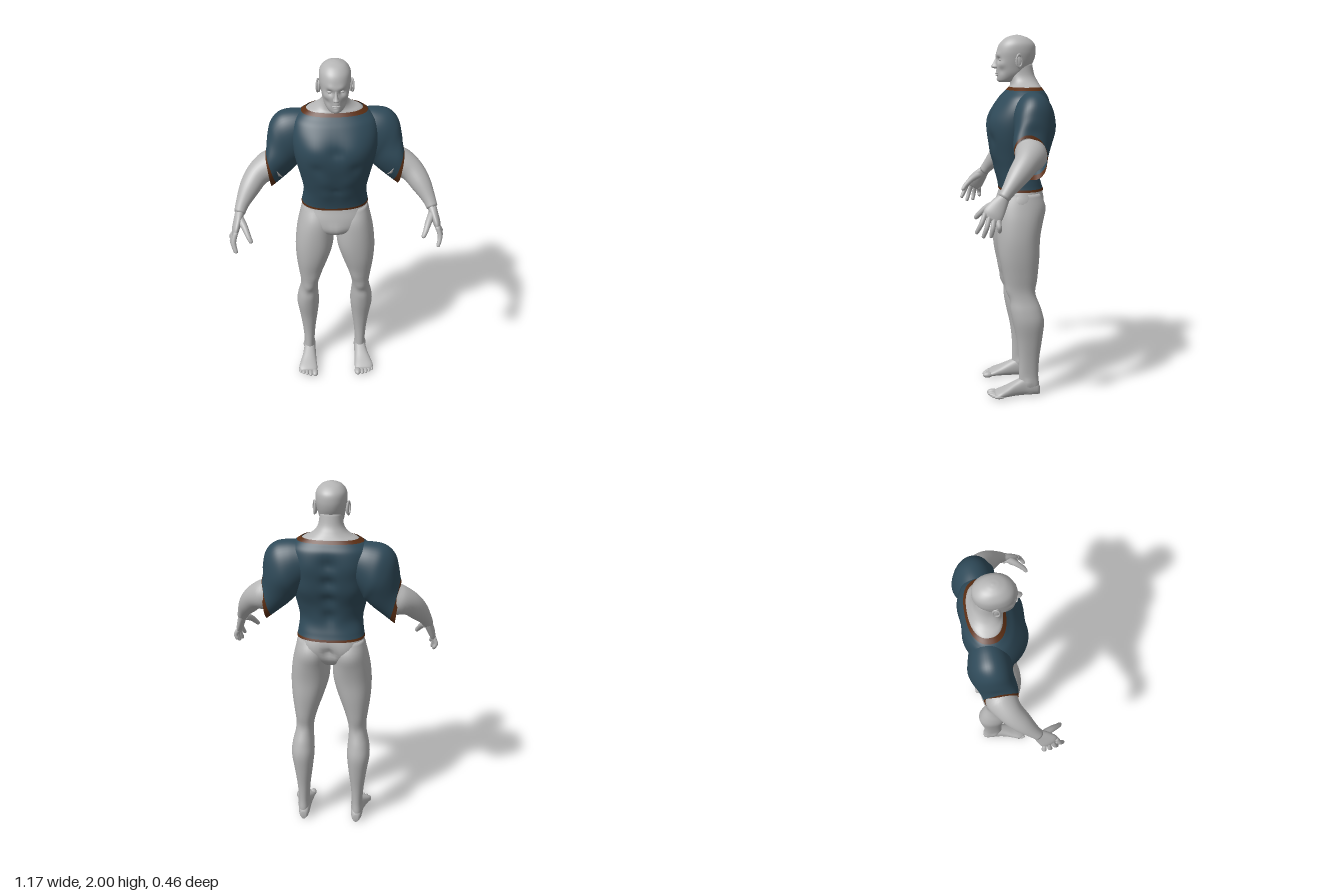
import * as THREE from 'three';

const V = (x, y, z) => new THREE.Vector3(x, y, z);

// Smooth skin through cross-sections, each { c: centre, u, v: half axes }
function loft(rings, { segs = 32, steps = 4, pow = 1, caps = true, trim } = {}) {
  const [cc, cu, cv] = ['c', 'u', 'v'].map(k =>
    new THREE.CatmullRomCurve3(rings.map(r => r[k]), false, 'catmullrom', 0.5));
  const rows = (rings.length - 1) * steps;
  const axis = rings[1].c.clone().sub(rings[0].c);
  const flip = rings[0].u.clone().cross(rings[0].v).dot(axis) < 0 ? -1 : 1;
  const bend = a => Math.sign(a) * Math.pow(Math.abs(a), pow);
  const pos = [], idx = [];
  for (let i = 0; i <= rows; i++) {
    const c = cc.getPoint(i / rows), u = cu.getPoint(i / rows), v = cv.getPoint(i / rows);
    for (let j = 0; j < segs; j++) {
      const t = j / segs * Math.PI * 2;
      const p = c.clone().addScaledVector(u, bend(Math.cos(t))).addScaledVector(v, flip * bend(Math.sin(t)));
      pos.push(p.x, p.y, p.z);
    }
  }
  for (let i = 0; i < rows; i++) for (let j = 0; j < segs; j++) {
    const k = (j + 1) % segs, a = i * segs + j, b = i * segs + k;
    idx.push(a, b, a + segs, b, b + segs, a + segs);
  }
  if (caps) {
    const s = rings[0].c, e = rings[rings.length - 1].c, n = (rows + 1) * segs;
    pos.push(s.x, s.y, s.z, e.x, e.y, e.z);
    for (let j = 0; j < segs; j++) {
      const k = (j + 1) % segs, o = rows * segs;
      idx.push(n, k, j, n + 1, o + j, o + k);
    }
  }
  const geo = new THREE.BufferGeometry();
  geo.setAttribute('position', new THREE.Float32BufferAttribute(pos, 3));
  geo.setIndex(idx);
  if (trim) { // trim = [rows at start, rows at end] in the second material
    const q = segs * 6, [a, b] = trim;
    if (a) geo.addGroup(0, a * q, 1);
    geo.addGroup(a * q, (rows - a - b) * q, 0);
    geo.addGroup((rows - b) * q, b * q, 1);
  }
  geo.computeVertexNormals();
  return geo;
}

// Horizontal section: height, inner x, outer x, front z, back z
const level = ([y, x0, x1, f, b]) =>
  ({ c: V((x0 + x1) / 2, y, (f + b) / 2), u: V((x1 - x0) / 2, 0, 0), v: V(0, 0, (f - b) / 2) });
const centred = ([y, rx, f, b]) => level([y, -rx, rx, f, b]);

// Round limb along points [x, y, z, radius]
function limb(pts, opts) {
  const p = pts.map(a => V(a[0], a[1], a[2]));
  return loft(p.map((c, i) => {
    const t = p[Math.min(i + 1, p.length - 1)].clone().sub(p[Math.max(i - 1, 0)]).normalize();
    const u = V(1, 0, 0).addScaledVector(t, -t.x).normalize();
    const v = t.clone().cross(u);
    return { c, u: u.multiplyScalar(pts[i][3]), v: v.multiplyScalar(pts[i][3]) };
  }), opts);
}

// Soft muscle bulges and hollows: [x, y, z, radius, amount], mirrored in x
function sculpt(geo, bumps) {
  const P = geo.attributes.position, N = geo.attributes.normal;
  for (let i = 0; i < P.count; i++) {
    const p = V().fromBufferAttribute(P, i), n = V().fromBufferAttribute(N, i);
    let s = 0;
    for (const [x, y, z, r, a] of bumps) s += a * Math.exp(-V(Math.abs(p.x), p.y, p.z).distanceToSquared(V(x, y, z)) / (r * r));
    p.addScaledVector(n, s);
    P.setXYZ(i, p.x, p.y, p.z);
  }
  geo.computeVertexNormals();
  return geo;
}

function blob(x, y, z, rx, ry, rz) {
  return new THREE.SphereGeometry(1, 20, 14).scale(rx, ry, rz).translate(x, y, z);
}

function mirrored(geo) {
  const g = geo.clone().scale(-1, 1, 1), a = g.index.array;
  for (let i = 0; i < a.length; i += 3) [a[i], a[i + 1]] = [a[i + 1], a[i]];
  g.computeVertexNormals();
  return g;
}

export function createModel() {
  const model = new THREE.Group();
  model.name = 'figure';
  const mat = (name, color, side = THREE.FrontSide) => Object.assign(new THREE.MeshStandardMaterial({ color, side }), { name });
  const skin = mat('skin', 0xb6b6b6);
  const cloth = [mat('shirt cloth', 0x2f4a59, THREE.DoubleSide), mat('shirt trim', 0x5c2f14, THREE.DoubleSide)];
  const add = (name, geo, material = skin) => {
    const m = new THREE.Mesh(geo, material);
    m.name = name;
    model.add(m);
  };
  const pair = (name, geo, material) => {
    add('left' + name, geo, material);
    add('right' + name, mirrored(geo), material);
  };

  // Shirt body with hem and collar bands
  add('shirtBody', sculpt(loft([
    [1.163, .185, .045, -.2], [1.2, .178, .05, -.187], [1.27, .172, .065, -.166], [1.35, .188, .085, -.18],
    [1.45, .213, .104, -.208], [1.53, .228, .1, -.22], [1.6, .232, .077, -.225], [1.66, .22, .042, -.222],
    [1.695, .19, .01, -.205], [1.722, .15, -.015, -.186],
  ].map(centred), { segs: 72, steps: 8, pow: .85, caps: false, trim: [3, 5] }), [
    [.1, 1.54, .08, .075, .012], [.1, 1.445, .09, .035, -.007], [0, 1.54, .1, .03, -.01],
    [.06, 1.36, .08, .04, .005], [.05, 1.27, .06, .04, .004], [0, 1.3, .07, .02, -.005],
    [.11, 1.58, -.21, .07, .011], [.13, 1.45, -.19, .07, .01], [.05, 1.28, -.16, .05, .007],
    [0, 1.6, -.22, .035, -.015], [0, 1.5, -.22, .035, -.018], [0, 1.4, -.19, .035, -.014], [0, 1.3, -.17, .035, -.01],
  ]), cloth);

  // Sleeves: sections from shoulder-side point to underarm point, with depth
  pair('Sleeve', sculpt(loft([
    [.14, 1.70, -.115, .14, 1.46, -.12, .09], [.22, 1.703, -.115, .17, 1.42, -.12, .105],
    [.29, 1.688, -.115, .18, 1.40, -.12, .109], [.338, 1.64, -.108, .195, 1.385, -.12, .104],
    [.358, 1.57, -.095, .23, 1.35, -.115, .098], [.366, 1.51, -.075, .29, 1.30, -.105, .09],
    [.372, 1.475, -.065, .345, 1.255, -.1, .083],
  ].map(([ox, oy, oz, ix, iy, iz, d]) => ({
    c: V((ox + ix) / 2, (oy + iy) / 2, (oz + iz) / 2),
    u: V((ox - ix) / 2, (oy - iy) / 2, (oz - iz) / 2), v: V(0, 0, d),
  })), { segs: 48, steps: 6, caps: false, trim: [0, 3] }), [
    [.3, 1.45, 0, .06, .008], [.34, 1.5, -.1, .03, -.006], [.25, 1.5, -.22, .06, .008],
  ]), cloth);

  // Forearm, palm and digits
  pair('Forearm', limb([
    [.32, 1.40, -.085, .085], [.36, 1.38, -.083, .083], [.42, 1.35, -.05, .066], [.465, 1.295, -.003, .056],
    [.505, 1.23, .05, .037], [.522, 1.19, .08, .03],
  ]));
  const across = V(-.2, .5, .85).normalize(), thick = V(.95, .3, .05).normalize();
  pair('Palm', loft([
    [.518, 1.2, .072, .028, .026], [.53, 1.165, .1, .042, .023], [.545, 1.12, .13, .052, .02], [.552, 1.09, .145, .046, .013],
  ].map(([x, y, z, w, t]) => ({ c: V(x, y, z), u: across.clone().multiplyScalar(w), v: thick.clone().multiplyScalar(t) })),
  { segs: 24 }));
  [[.545, 1.02, .215], [.553, 1, .182], [.562, 1.002, .145], [.566, 1.025, .103]].forEach(([x, y, z], i) => {
    const k = V(.55, 1.105, .14).addScaledVector(across, .037 - i * .025);
    pair('Finger' + (i + 1), limb([
      [k.x, k.y, k.z, .013], [(k.x + x) / 2 + .012, (k.y + y) / 2, (k.z + z) / 2, .0125],
      [x, y + .008, z, .01], [x - .002, y, z, .004],
    ], { segs: 12 }));
  });
  pair('Thumb', limb([
    [.522, 1.17, .105, .022], [.495, 1.145, .155, .018], [.475, 1.11, .195, .014], [.462, 1.088, .212, .011], [.458, 1.082, .216, .004],
  ], { segs: 14 }));

  // Pelvis and legs
  add('pelvis', sculpt(loft([
    [1.25, .15, .03, -.15], [1.17, .174, .038, -.188], [1.1, .193, .058, -.188], [1.04, .18, .062, -.17],
    [1, .12, .04, -.13], [.985, .04, 0, -.08],
  ].map(centred), { segs: 48, pow: .9 }), [
    [.09, 1.1, -.19, .06, .015], [0, 1.09, -.19, .025, -.025], [0, 1.04, .06, .035, .012],
  ]));
  pair('Leg', sculpt(loft([
    [1.15, .02, .18, .02, -.17], [1.08, .01, .198, .055, -.194], [1, .008, .215, .067, -.186], [.9, .012, .225, .068, -.17],
    [.8, .04, .222, .058, -.165], [.7, .075, .21, .035, -.155], [.62, .097, .2, .017, -.148], [.56, .102, .205, .004, -.155],
    [.5, .098, .219, -.002, -.175], [.43, .095, .225, -.015, -.19], [.33, .105, .21, -.037, -.18],
    [.22, .119, .195, -.05, -.165], [.12, .126, .188, -.05, -.16], [.06, .125, .19, -.05, -.165], [.015, .13, .185, -.06, -.155],
  ].map(level), { segs: 40, pow: .92 }), [
    [.1, 1.06, -.19, .06, .008], [.11, .68, .03, .04, .007], [.15, .61, .015, .03, .007], [.15, .555, 0, .025, -.004],
    [.16, .6, -.15, .04, -.008], [.125, .09, -.09, .02, .007], [.19, .08, -.1, .02, .007],
  ]));

  // Feet: z, centre x, half width, height
  pair('Foot', loft([
    [-.17, .155, .015, .045], [-.155, .155, .027, .07], [-.12, .156, .034, .095], [-.08, .157, .036, .105],
    [-.03, .161, .041, .085], [.02, .168, .05, .06], [.06, .172, .056, .042], [.088, .168, .048, .028],
  ].map(([z, x, w, h]) => ({ c: V(x, h / 2 + .004, z), u: V(w, 0, 0), v: V(0, h / 2, 0) })), { pow: .85 }));
  [[.131, .098, .019], [.158, .098, .013], [.18, .09, .0125], [.2, .08, .012], [.218, .066, .012]].forEach(([x, z, r], i) =>
    pair('Toe' + (i + 1), blob(x, .018, z, r, r * .9, .03)));

  // Neck, sloping into the collar
  add('neck', loft([
    [1.66, .165, -.01, -.2], [1.713, .152, -.014, -.188], [1.735, .108, -.02, -.178], [1.757, .08, -.018, -.166],
    [1.79, .064, -.008, -.15], [1.85, .058, 0, -.138],
  ].map(centred), { segs: 48, pow: .88 }));

  // Head with brow, sockets, cheeks, mouth and chin
  add('head', sculpt(loft([
    [1.747, .015, .03, -.01], [1.753, .034, .044, -.035], [1.768, .048, .05, -.07], [1.795, .061, .053, -.105],
    [1.83, .069, .057, -.13], [1.87, .077, .058, -.15], [1.91, .082, .055, -.158], [1.95, .078, .041, -.152],
    [1.98, .057, .012, -.122], [1.995, .028, -.022, -.085], [2, .004, -.05, -.06],
  ].map(centred), { segs: 72, steps: 7, pow: .93 }), [
    [.032, 1.868, .05, .016, -.013], [.028, 1.89, .052, .016, .005], [0, 1.888, .056, .014, .003],
    [.05, 1.842, .03, .02, .005], [.042, 1.81, .035, .02, -.005],
    [0, 1.798, .055, .014, .006], [0, 1.79, .06, .005, -.004], [0, 1.778, .055, .008, -.003], [0, 1.762, .05, .014, .006],
  ]));
  add('nose', loft([
    [1.885, .007, .058, .03], [1.865, .008, .066, .03], [1.845, .011, .078, .03], [1.832, .017, .085, .035],
    [1.824, .016, .077, .04], [1.82, .008, .064, .045],
  ].map(centred), { segs: 20 }));
  pair('Eyelid', blob(.031, 1.868, .037, .014, .008, .01));
  add('upperLip', blob(0, 1.795, .054, .022, .004, .009));
  add('lowerLip', blob(0, 1.786, .053, .018, .005, .009));

  // Ears with a raised rim
  pair('Ear', blob(.082, 1.86, -.055, .009, .033, .019).rotateZ(0));
  pair('EarRim', new THREE.TorusGeometry(.02, .005, 8, 24).scale(.85, 1.6, 1).rotateY(Math.PI / 2 + .35).translate(.089, 1.862, -.057));

  return model;
}
